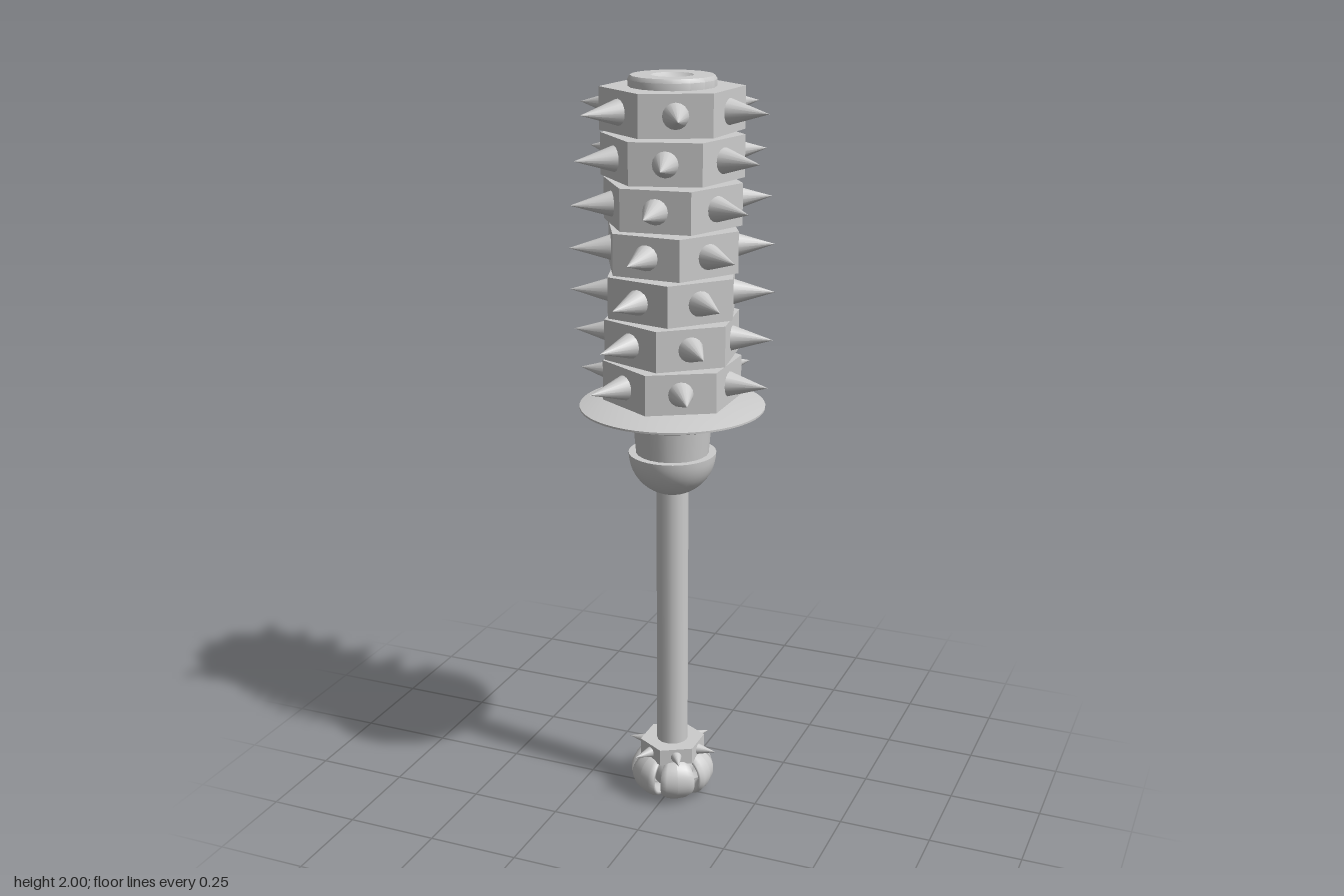
import * as THREE from 'three';
import { toCreasedNormals } from 'three/addons/utils/BufferGeometryUtils.js';

const smooth = new THREE.MeshStandardMaterial({ color: 0xcccccc });
const faceted = new THREE.MeshStandardMaterial({ color: 0xcccccc, flatShading: true });

function add(parent, name, geometry, material = smooth) {
  const mesh = new THREE.Mesh(geometry, material);
  mesh.name = name;
  parent.add(mesh);
  return mesh;
}

// Revolved part; profile points are [radius, y], listed from bottom to top
function turned(parent, name, profile, sides) {
  const pts = profile.map(([r, y]) => new THREE.Vector2(r, y));
  return add(parent, name, toCreasedNormals(new THREE.LatheGeometry(pts, sides), 0.6));
}

// Hexagonal ring with one cone spike in the middle of each face
function spikedRing(name, y, radius, height, spikeRadius, tip) {
  const ring = new THREE.Group();
  ring.name = name;
  ring.position.y = y;
  add(ring, 'hexBlock', new THREE.CylinderGeometry(radius, radius, height, 6), faceted);
  const base = radius * Math.cos(Math.PI / 6) - 0.004;
  const cone = new THREE.ConeGeometry(spikeRadius, tip - base, 16);
  cone.rotateZ(-Math.PI / 2);
  cone.translate((tip + base) / 2, 0, 0);
  for (let i = 0; i < 6; i++) add(ring, 'spike', cone).rotation.y = (i * Math.PI) / 3;
  return ring;
}

// Curved pommel petal: a torus arc widened in proportion to its distance from the axis
function petalGeometry() {
  const tube = 0.014;
  const geo = new THREE.TorusGeometry(0.051, tube, 10, 20, Math.PI * 1.1);
  geo.rotateZ(-Math.PI * 0.6);
  geo.translate(0.05, 0.065, 0);
  const p = geo.attributes.position;
  for (let i = 0; i < p.count; i++) p.setZ(i, (p.getZ(i) / tube) * 0.48 * p.getX(i));
  geo.computeVertexNormals();
  return geo;
}

export function createModel() {
  const model = new THREE.Group();
  model.name = 'spikedMace';

  // Head: seven spiked rings, each turned a little further than the one below
  const head = new THREE.Group();
  head.name = 'head';
  model.add(head);
  for (let i = 0; i < 7; i++) {
    const ring = spikedRing('spikedRing', 1.22 + i * 0.1165, 0.183, 0.107, 0.034, 0.265);
    ring.rotation.y = i * 0.16;
    head.add(ring);
  }
  add(head, 'core', new THREE.CylinderGeometry(0.07, 0.07, 0.8, 16)).position.y = 1.55;

  // Dished cap on top of the head
  turned(head, 'cap', [
    [0.11, 1.95], [0.112, 1.99], [0.106, 2], [0.054, 2], [0.043, 1.991], [0.024, 1.984], [0, 1.981],
  ], 16);

  // Guard disc, collar and cup below the head
  turned(model, 'guardDisc', [[0, 1.126], [0.2, 1.126], [0.245, 1.142], [0.245, 1.147], [0.17, 1.165], [0, 1.165]], 48);
  add(model, 'collar', new THREE.CylinderGeometry(0.107, 0.096, 0.13, 24)).position.y = 1.065;
  const cup = [];
  for (let i = 0; i <= 12; i++) {
    const a = (i / 12) * Math.PI / 2;
    cup.push([0.117 * Math.sin(a), 1.015 - 0.117 * Math.cos(a)]);
  }
  turned(model, 'cup', [...cup, [0, 1.015]], 32);

  // Handle
  add(model, 'shaft', new THREE.CylinderGeometry(0.043, 0.043, 0.83, 16)).position.y = 0.515;

  // Pommel: small spiked ring over six curved petals around a ball
  const pommel = new THREE.Group();
  pommel.name = 'pommel';
  model.add(pommel);
  pommel.add(spikedRing('pommelRing', 0.138, 0.09, 0.046, 0.016, 0.13));
  add(pommel, 'ball', new THREE.SphereGeometry(0.06, 24, 16)).position.y = 0.066;
  const petal = petalGeometry();
  for (let i = 0; i < 6; i++) add(pommel, 'petal', petal).rotation.y = (i * Math.PI) / 3;

  return model;
}
